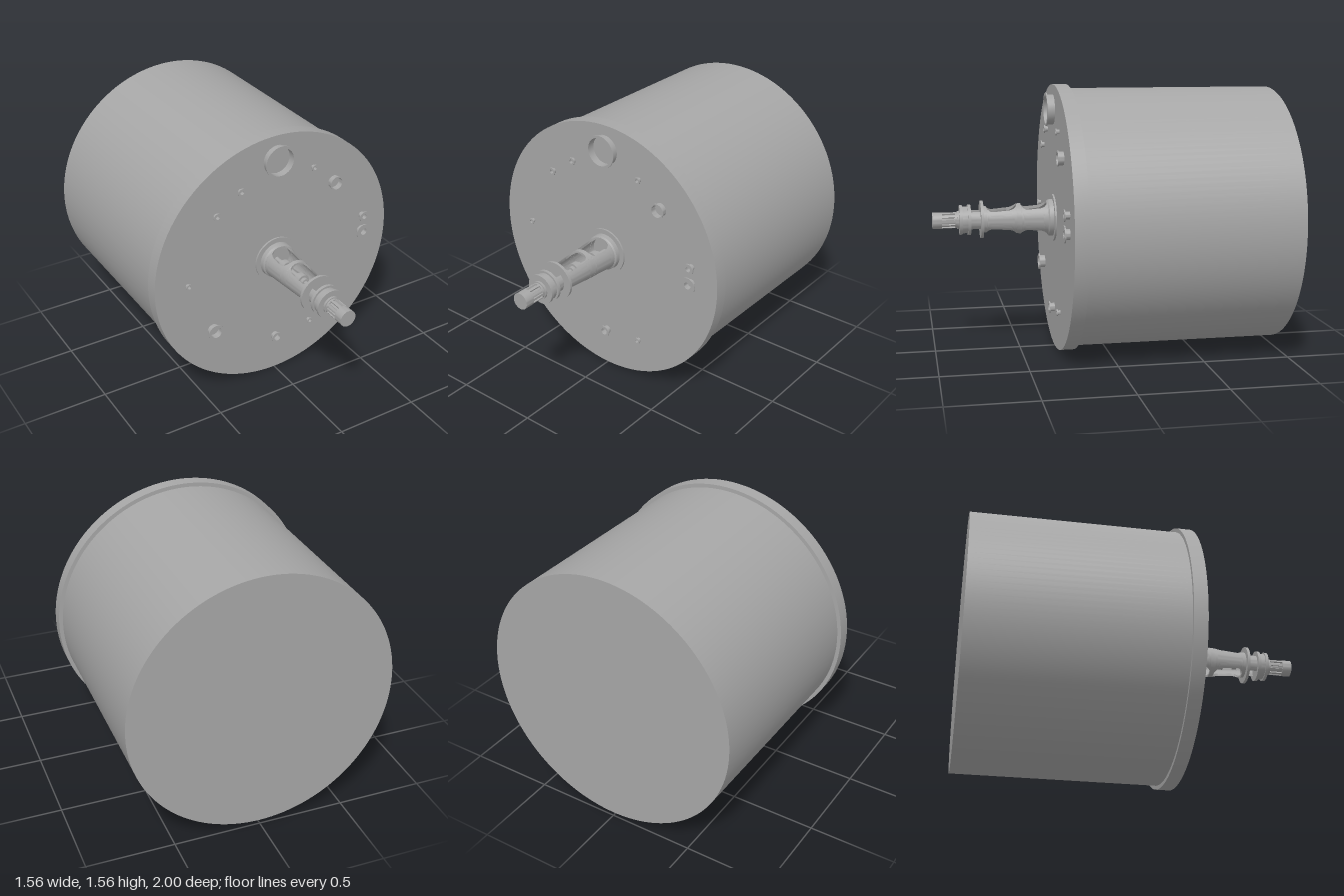
import * as THREE from 'three';
import { toCreasedNormals } from 'three/addons/utils/BufferGeometryUtils.js';

const steel = new THREE.MeshStandardMaterial({ color: 0xa6a6a6 });
steel.name = 'steel grey';

// Surface of revolution about the z axis; profile is [radius, z] pairs
function turned(name, profile, segments = 40) {
  const pts = profile.map(([r, z]) => new THREE.Vector2(r, z));
  const geo = new THREE.LatheGeometry(pts, segments).rotateX(Math.PI / 2);
  const mesh = new THREE.Mesh(toCreasedNormals(geo, 0.5), steel);
  mesh.name = name;
  return mesh;
}

// Solid disc or drum between two z positions
const disc = (name, r, z0, z1, segments) =>
  turned(name, [[0, z0], [r, z0], [r, z1], [0, z1]], segments);

// Curved wall on the +x side: stations are [z, outer radius, inner radius, slot half width]
function wall(name, stations) {
  const n = 16, row = 2 * (n + 1), pos = [], idx = [];
  for (const [z, ro, ri, w] of stations) {
    for (const [r, dir] of [[ro, 1], [ri, -1]]) {
      const a = Math.acos(Math.min(w / r, 0.999));
      for (let i = 0; i <= n; i++) {
        const t = dir * a * (2 * i / n - 1);
        pos.push(r * Math.cos(t), r * Math.sin(t), z);
      }
    }
  }
  for (let k = 0; k < stations.length - 1; k++) {
    for (let j = 0; j < row; j++) {
      const a = k * row + j, b = k * row + (j + 1) % row;
      idx.push(a, b, b + row, a, b + row, a + row);
    }
  }
  const geo = new THREE.BufferGeometry();
  geo.setAttribute('position', new THREE.Float32BufferAttribute(pos, 3));
  geo.setIndex(idx);
  const mesh = new THREE.Mesh(toCreasedNormals(geo, 0.5), steel);
  mesh.name = name;
  return mesh;
}

// A wall and its opposite twin
function wallPair(name, stations) {
  const group = new THREE.Group();
  group.name = name;
  const right = wall(name + 'Left', stations);
  const left = right.clone();
  left.name = name + 'Right';
  left.rotation.z = Math.PI;
  group.add(right, left);
  return group;
}

// Conical lantern with two round-cornered windows above and below
function lantern() {
  const stations = [];
  const add = (z, w) => {
    const r = 0.1 - (z - 0.3) * 0.058;
    stations.push([z, r, r - 0.011, w]);
  };
  add(0.3, 0);
  for (const [z0, z1, width] of [[0.335, 0.488, 0.069], [0.515, 0.69, 0.062]]) {
    const c = 0.04;
    add(z0, 0);
    for (let i = 0; i <= 24; i++) {
      const z = z0 + (z1 - z0) * (1 - Math.cos(Math.PI * i / 24)) / 2;
      const d = Math.min(z - z0, z1 - z, c);
      add(z, width - c + Math.sqrt(Math.max(0, c * c - (c - d) ** 2)));
    }
    add(z1, 0);
  }
  add(0.712, 0);
  return wallPair('lantern', stations);
}

// Short pipe stub with a thin end flange
function nozzle(name, x, y, flangeR, boreR, end) {
  const stubR = boreR + (flangeR - boreR) * 0.3;
  const lip = end - 0.007, base = 0.28;
  const mesh = turned(name, [
    [boreR, base], [stubR, base], [stubR, lip], [flangeR, lip],
    [flangeR, end], [boreR, end], [boreR, base],
  ], 32);
  mesh.position.set(x, y, 0);
  return mesh;
}

export function createModel() {
  const model = new THREE.Group();
  model.name = 'stirredVessel';
  const axisY = 0.78;

  const body = new THREE.Group();
  body.name = 'vesselBody';
  body.position.y = axisY;
  body.add(disc('vesselDrum', 0.757, -1, 0.215, 128));
  body.add(disc('headPlate', 0.78, 0.21, 0.29, 128));
  model.add(body);

  // Agitator drive along the central axis
  const drive = new THREE.Group();
  drive.name = 'agitatorDrive';
  drive.position.y = axisY;
  drive.add(
    turned('mountingFlange', [[0, 0.285], [0.137, 0.285], [0.137, 0.3], [0.108, 0.3],
      [0.106, 0.325], [0.098, 0.332], [0.085, 0.332], [0.085, 0.302], [0, 0.302]], 48),
    lantern(),
    disc('driveShaft', 0.014, 0.29, 0.8, 24),
    disc('lanternFlange', 0.11, 0.708, 0.724, 48),
    wallPair('spacerLeg', [[0.72, 0.064, 0.046, 0.04], [0.785, 0.064, 0.046, 0.04]]),
    disc('spacerCore', 0.026, 0.72, 0.785, 24),
    turned('gearbox', [[0, 0.78], [0.09, 0.78], [0.09, 0.797], [0.078, 0.797], [0.078, 0.828],
      [0.086, 0.828], [0.086, 0.845], [0.052, 0.845], [0.052, 0.858], [0, 0.858]], 48),
    disc('motorCore', 0.038, 0.85, 0.96, 32),
    disc('motorBase', 0.046, 0.855, 0.87, 32),
    disc('motorCap', 0.048, 0.945, 1, 40),
  );

  // Shaft couplings seen through the windows
  for (const [z, r, h] of [[0.4, 0.038, 0.026], [0.56, 0.038, 0.026], [0.65, 0.03, 0.018]]) {
    drive.add(turned('shaftCoupling', [
      [0, z - 1.5 * h], [r * 0.65, z - 1.5 * h], [r * 0.65, z - h * 0.7], [r, z - h * 0.7],
      [r, z + h * 0.7], [r * 0.65, z + h * 0.7], [r * 0.65, z + 1.5 * h], [0, z + 1.5 * h],
    ], 32));
  }

  // Cooling fins around the motor
  const finGeo = new THREE.BoxGeometry(0.012, 0.012, 0.085).translate(0.04, 0, 0.907);
  for (let i = 0; i < 10; i++) {
    const fin = new THREE.Mesh(finGeo, steel);
    fin.name = 'motorFin';
    fin.rotation.z = i * Math.PI / 5;
    drive.add(fin);
  }
  model.add(drive);

  // Ports on the head plate: x, y, flange radius, bore radius, end z
  const ports = [
    [0, 1.415, 0.097, 0.082, 0.335],
    [0.39, 1.172, 0.044, 0.036, 0.325],
    [-0.42, 0.43, 0.05, 0.034, 0.328],
    [0.605, 0.785, 0.048, 0.021, 0.323],
    [0.605, 0.888, 0.033, 0.015, 0.323],
    [0, 0.235, 0.035, 0.021, 0.323],
    [-0.235, 1.283, 0.024, 0.012, 0.313],
    [-0.39, 1.174, 0.024, 0.012, 0.313],
    [0.242, 1.305, 0.02, 0.01, 0.313],
    [0.242, 0.262, 0.02, 0.01, 0.313],
    [-0.577, 0.785, 0.02, 0.01, 0.313],
  ];
  const nozzles = new THREE.Group();
  nozzles.name = 'nozzles';
  ports.forEach((p, i) => nozzles.add(nozzle('nozzle' + (i + 1), ...p)));
  model.add(nozzles);

  return model;
}
